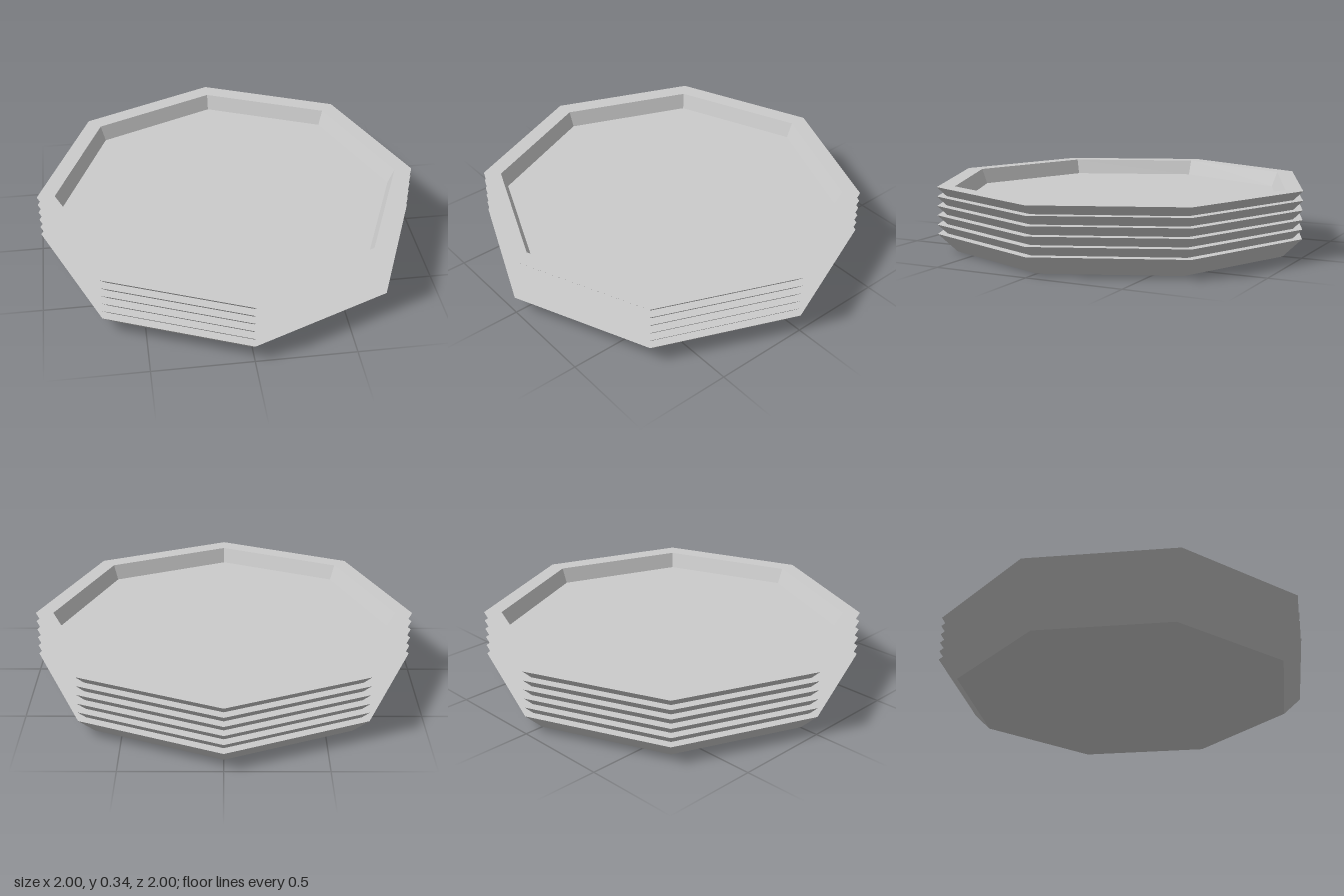
import * as THREE from 'three';

const SIDES = 8;
const PLATES = 6;
const HEIGHT = 0.097; // height of one plate
const STEP = 0.0485; // rise from one nested plate to the next

export function createModel() {
  const stack = new THREE.Group();
  stack.name = 'plateStack';
  const material = new THREE.MeshStandardMaterial({ color: 0xcccccc, flatShading: true });

  // Closed plate section: base, flared wall, flat rim, steep inner wall, floor
  const section = [
    [0, 0], [0.9, 0], [1, HEIGHT], [0.907, HEIGHT], [0.875, 0.017], [0, 0.017],
  ].map(([r, y]) => new THREE.Vector2(r, y));
  const plateGeometry = new THREE.LatheGeometry(section, SIDES);

  // Identical plates nested in one another
  for (let i = 0; i < PLATES; i++) {
    const plate = new THREE.Mesh(plateGeometry, material);
    plate.name = `plate${i + 1}`;
    plate.position.y = i * STEP;
    stack.add(plate);
  }
  return stack;
}
